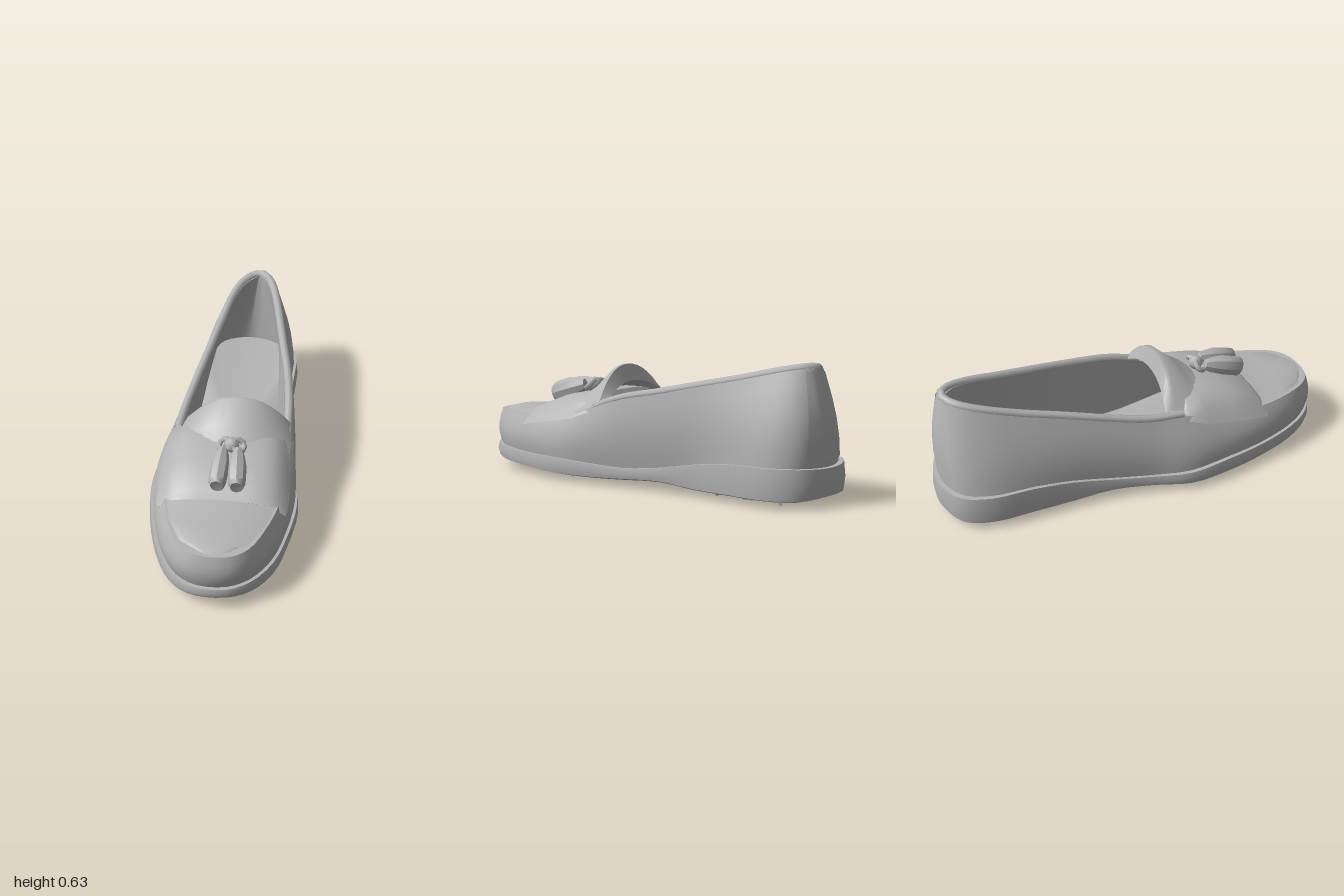
import * as THREE from 'three';
import { toCreasedNormals } from 'three/addons/utils/BufferGeometryUtils.js';

const leather = new THREE.MeshStandardMaterial({ color: 0xb4b4b4, side: THREE.DoubleSide });
leather.name = 'grey leather';

// Stations from toe to heel:
// z, sole left x, sole right x, sole bottom, sole top, rim left x, rim right x, rim y, rim z
const STATIONS = [
  [0.99, -0.06, 0.08, 0.06, 0.115, -0.06, 0.09, 0.287, 0.96],
  [0.93, -0.16, 0.185, 0.05, 0.115, -0.14, 0.17, 0.29, 0.905],
  [0.8, -0.245, 0.275, 0.04, 0.115, -0.2, 0.23, 0.292, 0.78],
  [0.6, -0.31, 0.33, 0.033, 0.11, -0.24, 0.28, 0.295, 0.6],
  [0.38, -0.35, 0.36, 0.028, 0.11, -0.255, 0.3, 0.32, 0.38],
  [0.18, -0.36, 0.335, 0.028, 0.1, -0.25, 0.305, 0.37, 0.18],
  [0, -0.305, 0.31, 0.035, 0.095, -0.235, 0.3, 0.42, 0],
  [-0.2, -0.265, 0.29, 0.045, 0.115, -0.2, 0.28, 0.46, -0.2],
  [-0.4, -0.245, 0.275, 0.03, 0.15, -0.16, 0.245, 0.505, -0.4],
  [-0.6, -0.24, 0.285, 0.03, 0.175, -0.12, 0.21, 0.548, -0.6],
  [-0.8, -0.23, 0.285, 0.03, 0.18, -0.08, 0.175, 0.59, -0.77],
  [-0.93, -0.17, 0.22, 0.03, 0.18, -0.035, 0.14, 0.613, -0.87],
  [-0.99, -0.04, 0.09, 0.04, 0.175, 0.02, 0.1, 0.622, -0.92],
];
const SUB = 3;
const V = (x, y, z) => new THREE.Vector3(x, y, z);

// The foot opening leans slightly lower on the -x side
const rimY = (s, k) => s[7] + (s[8] < 0.1 ? 0.08 * (s[5 + k] - 0.22) : 0);

// Closed ring through all stations, toe to heel on one side and back on the other
function ring(at) {
  const pts = [
    ...STATIONS.map((s) => at(s, 0)),
    ...STATIONS.map((s) => at(s, 1)).reverse(),
  ];
  const curve = new THREE.CatmullRomCurve3(pts, true);
  const n = pts.length * SUB;
  return Array.from({ length: n }, (_, i) => curve.getPoint(i / n));
}
const soleRing = (inset, y) => ring((s, k) =>
  V(0.02 + (s[1 + k] - 0.02) * (1 - inset), y(s), s[0] * (1 - inset * 0.35)));
const collapse = (r) => {
  const c = r.reduce((a, p) => a.add(p), V(0, 0, 0)).divideScalar(r.length);
  return r.map(() => c.clone());
};

// Skin a list of rows of points
function skin(rows, closed, crease = 0.9) {
  const n = rows[0].length, index = [];
  for (let r = 0; r < rows.length - 1; r++) {
    for (let i = 0; i < (closed ? n : n - 1); i++) {
      const a = r * n + i, b = r * n + ((i + 1) % n), c = a + n, d = b + n;
      if (closed) index.push(a, c, b, b, c, d);
      else index.push(a, b, c, b, d, c);
    }
  }
  const g = new THREE.BufferGeometry().setFromPoints(rows.flat());
  g.setIndex(index);
  return toCreasedNormals(g, crease);
}

// Arched sheet over rows of [z, left x, right x, edge y, crown y]; sweep pulls the edges back
function arch(rows, power, sweep = 0, cols = 14) {
  return skin(rows.map(([z, l, r, e, c]) => Array.from({ length: cols + 1 }, (_, i) => {
    const s = (i / cols) * 2 - 1;
    return V((l + r) / 2 + (s * (r - l)) / 2, e + (c - e) * (1 - Math.abs(s) ** power), z - sweep * s * s);
  })), false);
}

export function createModel() {
  const shoe = new THREE.Group();
  shoe.name = 'slipOnShoe';
  const add = (name, geometry, parent = shoe) => {
    const m = new THREE.Mesh(geometry, leather);
    m.name = name;
    parent.add(m);
    return m;
  };

  // Sole band with closed underside and top
  const under = soleRing(0.1, (s) => s[3]);
  const over = soleRing(0.08, (s) => s[4]);
  add('sole', skin([
    collapse(under), under,
    soleRing(0.02, (s) => s[3] + 0.008),
    soleRing(0, (s) => (s[3] + s[4]) / 2),
    soleRing(0.02, (s) => s[4]),
    over, collapse(over),
  ], true, 0.7));

  // Treads bulging below the forefoot and heel, with crossed ribs
  const tread = (name, from, to, ribs) => {
    const rows = STATIONS.slice(from, to).map((s) => {
      const z = s[0] * 0.95;
      return [z, s[1] * 0.86, s[2] * 0.86, s[3] + 0.004, 0.006 + 0.3 * Math.max(0, Math.abs(z) - 0.6) ** 2];
    }).reverse();
    const end = (row) => [row[0], row[1], row[2], row[3], row[3]];
    add(name, arch([end(rows[0]), ...rows, end(rows.at(-1))], 4));
    for (const z of ribs) {
      for (const side of [-1, 1]) {
        const rib = add(name + 'Rib', new THREE.BoxGeometry(0.36, 0.014, 0.014));
        rib.position.set(0.02, 0.007, z);
        rib.rotation.y = side * 0.6;
      }
    }
  };
  tread('forefootTread', 0, 6, [0.3, 0.46, 0.62]);
  tread('heelTread', 8, 13, [-0.55, -0.7]);

  // Upper: outer wall, rim, inner wall and insole
  const wall = (v, grow = 0) => ring((s, k) => {
    const sx = 0.02 + (s[1 + k] - 0.02) * 0.93, sz = s[0] * 0.968;
    const bulge = 1 + 0.08 * Math.sin(Math.PI * v) + grow;
    const x = THREE.MathUtils.lerp(sx, s[5 + k], v);
    const z = THREE.MathUtils.lerp(sz, s[8], v) * (1 + 0.024 * Math.sin(Math.PI * v));
    return V(0.03 + (x - 0.03) * bulge, THREE.MathUtils.lerp(s[4] - 0.02, rimY(s, k), v), z);
  });
  const inner = ring((s, k) => V(s[5 + k] + (k ? -0.035 : 0.035), rimY(s, k), s[8] * 0.965));
  const floor = ring((s, k) => V(0.02 + (s[1 + k] - 0.02) * 0.74, s[4] + 0.03, s[0] * 0.92));
  add('upper', skin([
    wall(0), wall(0.2), wall(0.4), wall(0.6), wall(0.8), wall(1),
    inner, floor, collapse(floor),
  ], true));

  // Rolled binding around the foot opening
  const rimSide = (k) => STATIONS.slice(5).map((s) =>
    V(s[5 + k] + (k ? -0.018 : 0.018), rimY(s, k) + 0.002, s[8] * 0.985));
  const rim = new THREE.CatmullRomCurve3([...rimSide(0), ...rimSide(1).reverse()]);
  add('collarBinding', new THREE.TubeGeometry(rim, 60, 0.021, 8));

  // Back tab wrapped around the heel
  const mid = STATIONS.length * SUB - Math.ceil(SUB / 2);
  add('heelTab', skin([0.1, 0.3, 0.5, 0.7, 0.97].map((v) =>
    wall(v, 0.03).slice(mid - 3, mid + 5).map((p) => p.setZ(p.z - 0.004))).reverse(), false));

  // Toe top rising into the tongue
  add('vampAndTongue', arch([
    [0.955, -0.06, 0.09, 0.287, 0.29],
    [0.905, -0.14, 0.17, 0.29, 0.302],
    [0.78, -0.2, 0.23, 0.292, 0.31],
    [0.6, -0.24, 0.28, 0.295, 0.32],
    [0.4, -0.255, 0.3, 0.32, 0.385],
    [0.27, -0.245, 0.31, 0.35, 0.475],
    [0.18, -0.21, 0.31, 0.38, 0.56],
    [0.16, -0.2, 0.31, 0.39, 0.56],
    [0.13, -0.2, 0.29, 0.38, 0.48],
  ], 2.2, 0.03));

  // Saddle strap across the instep
  add('saddleStrap', arch([
    [0.6, -0.26, 0.3, 0.245, 0.285],
    [0.63, -0.27, 0.31, 0.25, 0.315],
    [0.6, -0.28, 0.318, 0.255, 0.345],
    [0.45, -0.285, 0.325, 0.28, 0.4],
    [0.3, -0.28, 0.325, 0.305, 0.43],
    [0.21, -0.27, 0.32, 0.34, 0.43],
    [0.19, -0.26, 0.315, 0.34, 0.4],
  ], 5));

  // Knot with two hanging tassels
  const tassels = new THREE.Group();
  tassels.name = 'tassels';
  shoe.add(tassels);
  const profile = [[0, 0], [0.022, 0.005], [0.034, 0.04], [0.046, 0.1], [0.044, 0.19], [0.032, 0.21], [0, 0.205]]
    .map(([r, y]) => new THREE.Vector2(r, y));
  for (const side of [-1, 1]) {
    const t = add('tassel', toCreasedNormals(new THREE.LatheGeometry(profile, 8), 0.7), tassels);
    t.position.set(0.042 + side * 0.034, 0.445, 0.41);
    t.rotation.set(Math.PI / 2 + 0.3, 0, -side * 0.05);
    t.scale.set(0.92, 1, 1.25);
    const loop = add('knotLoop', new THREE.TorusGeometry(0.028, 0.014, 6, 10), tassels);
    loop.position.set(0.042 + side * 0.032, 0.445, 0.385);
    loop.rotation.set(-0.9, side * 0.4, 0);
  }
  const knot = add('knot', new THREE.SphereGeometry(0.036, 8, 6), tassels);
  knot.position.set(0.042, 0.445, 0.38);

  return shoe;
}
